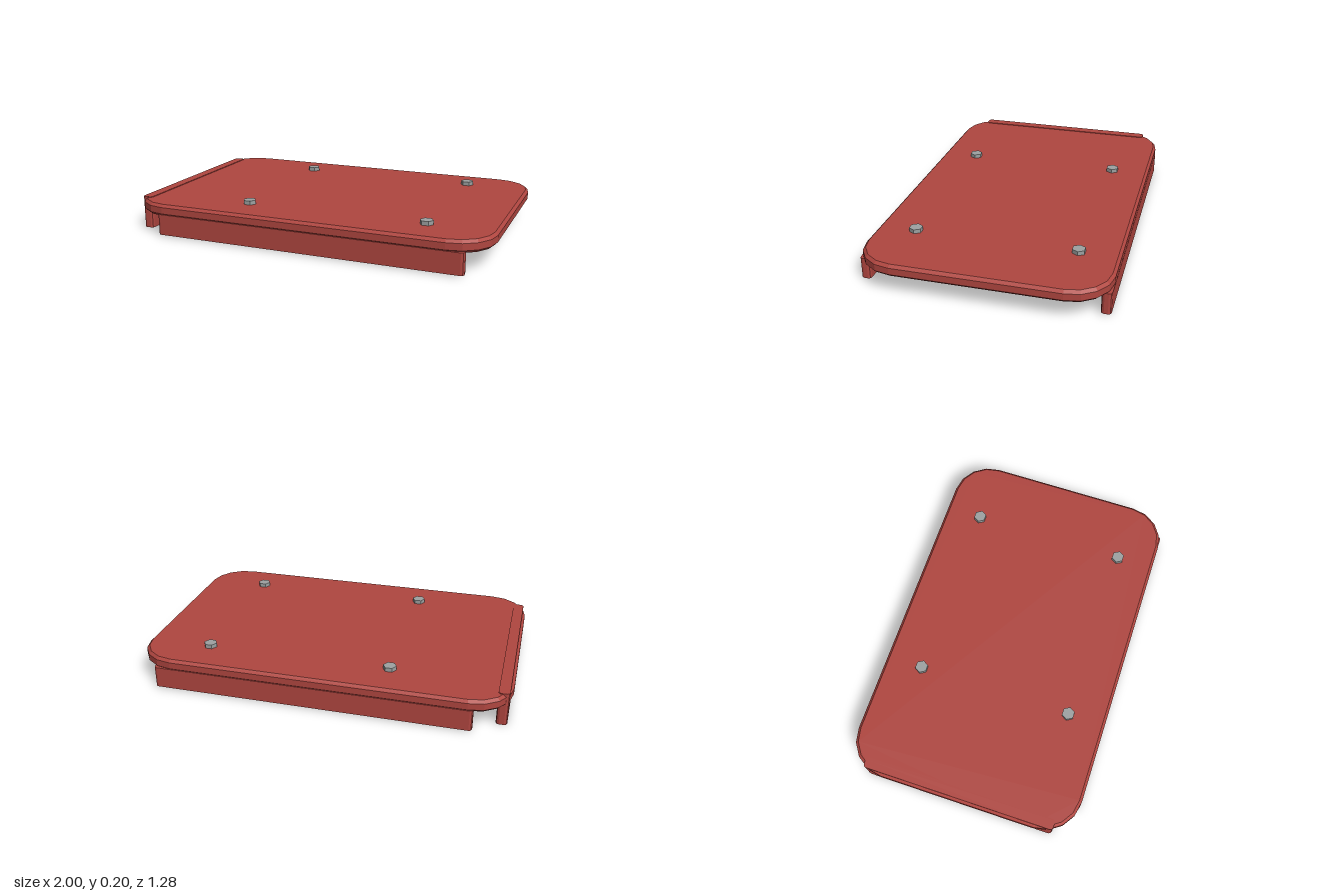
import * as THREE from 'three';

// Outline of a rectangle with rounded corners
function roundedRect(w, d, r) {
  const s = new THREE.Shape();
  const x = w / 2 - r, y = d / 2 - r;
  s.absarc(x, y, r, 0, Math.PI / 2);
  s.absarc(-x, y, r, Math.PI / 2, Math.PI);
  s.absarc(-x, -y, r, Math.PI, Math.PI * 1.5);
  s.absarc(x, -y, r, Math.PI * 1.5, Math.PI * 2);
  s.closePath();
  return s;
}

// Upright block between y0 and y1 with rounded vertical edges and an optional bevel
function block(x0, x1, y0, y1, z0, z1, r, bevel = 0, curveSegments = 1) {
  const shape = roundedRect(x1 - x0 - 2 * bevel, z1 - z0 - 2 * bevel, r - bevel);
  const g = new THREE.ExtrudeGeometry(shape, {
    depth: y1 - y0 - 2 * bevel, curveSegments,
    bevelEnabled: bevel > 0, bevelSize: bevel, bevelThickness: bevel, bevelSegments: 1,
  });
  g.rotateX(-Math.PI / 2);
  g.translate((x0 + x1) / 2, y0 + bevel, (z0 + z1) / 2);
  return g;
}

export function createModel() {
  const group = new THREE.Group();
  const red = new THREE.MeshStandardMaterial({ color: 0xb04640 });
  red.name = 'red';
  const steel = new THREE.MeshStandardMaterial({ color: 0x9ea2a2 });
  steel.name = 'steelGrey';

  const add = (name, geometry, material) => {
    const m = new THREE.Mesh(geometry, material);
    m.name = name;
    group.add(m);
    return m;
  };

  // Lid plate with bevelled rim
  add('plate', block(-1, 1, 0.11, 0.176, -0.64, 0.64, 0.21, 0.015, 2), red);

  // Long skirts along front and back
  add('frontSkirt', block(-0.82, 0.885, 0.005, 0.12, 0.588, 0.64, 0.016), red);
  add('backSkirt', block(-0.82, 0.885, 0.005, 0.12, -0.64, -0.588, 0.016), red);

  // Short skirt at one end, rising just above the plate
  add('endSkirt', block(-0.985, -0.927, 0, 0.18, -0.535, 0.535, 0.016), red);

  // Stiffening ribs underneath
  for (const z of [-0.32, 0, 0.32]) {
    add('rib', block(-0.76, 0.77, 0.028, 0.115, z - 0.02, z + 0.02, 0.01), red);
  }

  // Hexagonal bolt heads
  for (const x of [-0.36, 0.64]) {
    for (const z of [-0.43, 0.43]) {
      const g = new THREE.CylinderGeometry(0.036, 0.036, 0.028, 6).toNonIndexed();
      g.rotateY(Math.PI / 6);
      g.computeVertexNormals();
      add('boltHead', g, steel).position.set(x, 0.184, z);
    }
  }
  return group;
}
